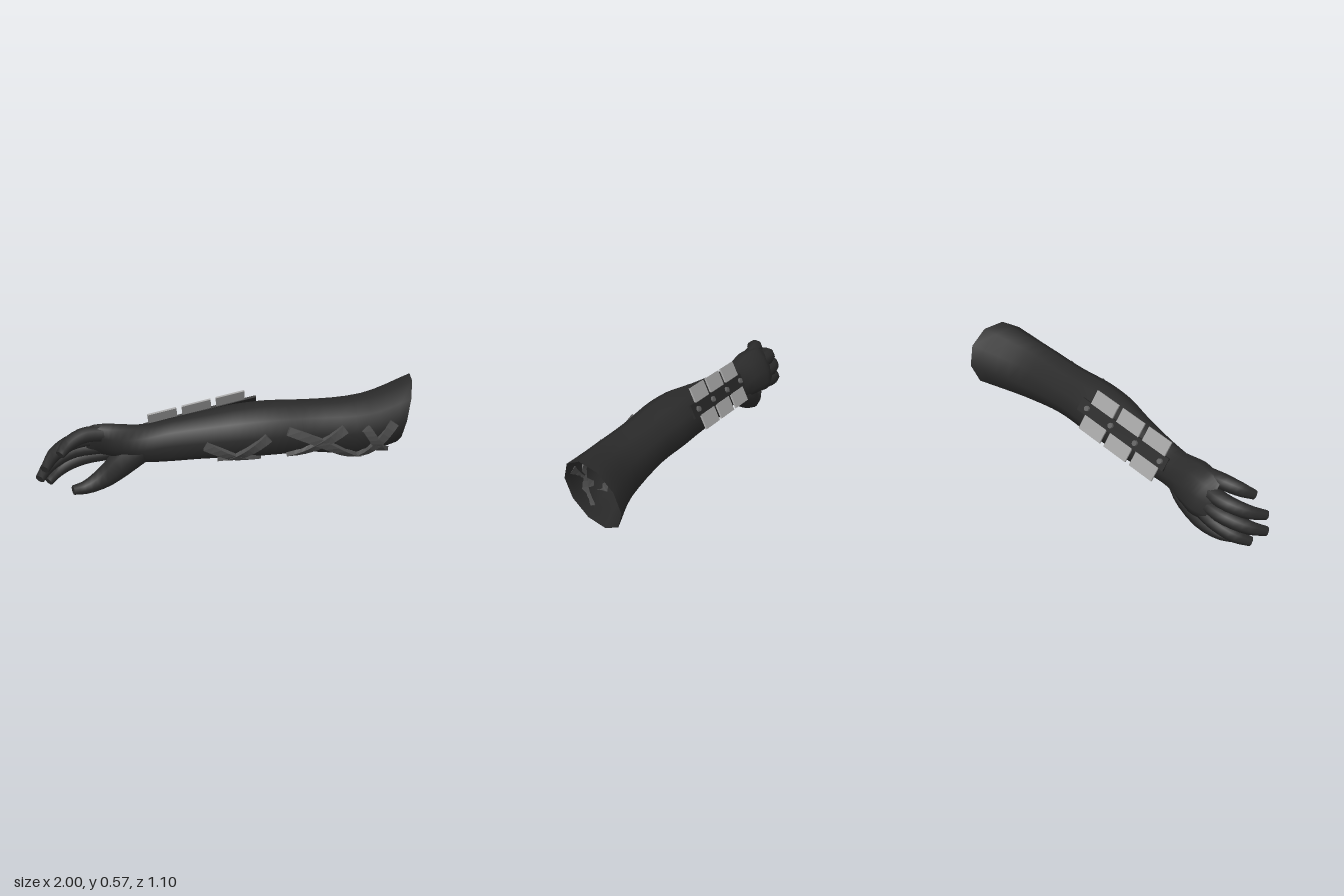
import * as THREE from 'three';

const V = (x, y, z) => new THREE.Vector3(x, y, z);
const mat = (name, color) => {
  const m = new THREE.MeshStandardMaterial({ color });
  m.name = name;
  return m;
};

// Skin over rings {c, n, u}: ellipses with centre c and half axes n and u
function loft(rings, sides, { capStart = false, capEnd = false, flat = false, turn = 0 } = {}) {
  const pos = [], idx = [];
  for (const { c, n, u } of rings) {
    for (let j = 0; j < sides; j++) {
      const a = turn + (j / sides) * Math.PI * 2;
      pos.push(...c.clone().addScaledVector(n, Math.cos(a)).addScaledVector(u, Math.sin(a)).toArray());
    }
  }
  for (let i = 0; i < rings.length - 1; i++) {
    for (let j = 0; j < sides; j++) {
      const k = (j + 1) % sides;
      const a = i * sides + j, b = i * sides + k;
      idx.push(a, b, a + sides, b, b + sides, a + sides);
    }
  }
  const cap = (ring, flip) => {
    const start = pos.length / 3;
    for (let j = 0; j < sides; j++) {
      const o = (ring * sides + j) * 3;
      pos.push(pos[o], pos[o + 1], pos[o + 2]);
    }
    for (let j = 1; j < sides - 1; j++) {
      idx.push(start, start + (flip ? j + 1 : j), start + (flip ? j : j + 1));
    }
  };
  if (capStart) cap(0, true);
  if (capEnd) cap(rings.length - 1, false);
  let g = new THREE.BufferGeometry();
  g.setAttribute('position', new THREE.Float32BufferAttribute(pos, 3));
  g.setIndex(idx);
  if (flat) g = g.toNonIndexed();
  g.computeVertexNormals();
  return g;
}

// Sleeve and palm sections, elbow to knuckles: centre, front half axis, upper half axis
const SECTIONS = [
  [V(0.955, 0.378, -0.355), V(0.035, 0, 0.2), V(0.035, 0.203, 0)],
  [V(0.73, 0.338, -0.185), V(0.07, 0, 0.14), V(0.015, 0.182, 0)],
  [V(0.425, 0.352, -0.065), V(0.075, 0, 0.128), V(0, 0.153, 0)],
  [V(0.205, 0.354, 0.015), V(0.065, 0, 0.143), V(0, 0.157, 0)],
  [V(0.04, 0.346, 0.072), V(0.06, 0, 0.138), V(0, 0.152, 0)],
  [V(-0.13, 0.327, 0.12), V(0.05, 0, 0.12), V(0, 0.138, 0)],
  [V(-0.31, 0.306, 0.18), V(0.035, 0, 0.1), V(0, 0.126, 0)],
  [V(-0.44, 0.294, 0.225), V(0.02, -0.01, 0.09), V(0, 0.116, 0.015)],
  [V(-0.6, 0.308, 0.256), V(0.02, -0.03, 0.08), V(0, 0.117, 0.06)],
  [V(-0.7, 0.305, 0.27), V(0.03, -0.02, 0.058), V(0, 0.121, 0.065)],
  [V(-0.78, 0.287, 0.295), V(0.02, -0.01, 0.024), V(0.01, 0.108, 0.045)],
];
const [centre, front, upper] = [0, 1, 2].map(
  (k) => new THREE.CatmullRomCurve3(SECTIONS.map((s) => s[k])));
const ringAt = (t) => ({ c: centre.getPoint(t), n: front.getPoint(t), u: upper.getPoint(t) });

// Curve parameter where the arm's centre line reaches a given x
function paramAtX(x) {
  let lo = 0, hi = 1;
  for (let i = 0; i < 30; i++) {
    const m = (lo + hi) / 2;
    if (centre.getPoint(m).x > x) lo = m; else hi = m;
  }
  return lo;
}

// Tapered digit along a curve
function digit(points, radii) {
  const curve = new THREE.CatmullRomCurve3(points);
  const rings = [];
  const steps = 10;
  for (let i = 0; i <= steps; i++) {
    const t = i / steps;
    const tan = curve.getTangent(t);
    const up = V(0, 1, 0).addScaledVector(tan, -tan.y).normalize();
    const side = up.clone().cross(tan);
    const f = t * (radii.length - 1), k = Math.min(Math.floor(f), radii.length - 2);
    const r = THREE.MathUtils.lerp(radii[k], radii[k + 1], f - k);
    rings.push({ c: curve.getPoint(t), n: side.multiplyScalar(r), u: up.multiplyScalar(r) });
  }
  return loft(rings, 8, { capEnd: true });
}

// Flat band across the sleeve from (x, angle) to (x, angle); 0 degrees faces front
function strap(x0, a0, x1, a1) {
  const pts = [], outs = [];
  const steps = 8;
  for (let i = 0; i <= steps; i++) {
    const s = i / steps;
    const { c, n, u } = ringAt(paramAtX(THREE.MathUtils.lerp(x0, x1, s)));
    const a = THREE.MathUtils.degToRad(THREE.MathUtils.lerp(a0, a1, s));
    const d = n.multiplyScalar(Math.cos(a)).addScaledVector(u, Math.sin(a));
    pts.push(c.addScaledVector(d, 1.03));
    outs.push(d.normalize());
  }
  const rings = pts.map((c, i) => {
    const tan = pts[Math.min(i + 1, steps)].clone().sub(pts[Math.max(i - 1, 0)]).normalize();
    const out = outs[i].clone().addScaledVector(tan, -outs[i].dot(tan)).normalize();
    const side = out.clone().cross(tan);
    return { c, n: side.multiplyScalar(0.036), u: out.multiplyScalar(0.017) };
  });
  return loft(rings, 4, { capStart: true, capEnd: true, flat: true, turn: Math.PI / 4 });
}

export function createModel() {
  const model = new THREE.Group();
  model.name = 'armGuard';
  const glove = mat('dark glove', 0x2b2b2b);
  glove.side = THREE.DoubleSide;
  const band = mat('strap grey', 0x4c4c4c);
  const steel = mat('plate grey', 0xa0a0a0);
  const base = mat('base black', 0x262626);
  const stud = mat('rivet grey', 0x606060);
  const add = (parent, name, geo, m) => {
    const mesh = new THREE.Mesh(geo, m);
    mesh.name = name;
    parent.add(mesh);
    return mesh;
  };

  // Open sleeve running into the palm
  const rings = [];
  for (let i = 0; i <= 40; i++) rings.push(ringAt(i / 40));
  add(model, 'sleeveAndPalm', loft(rings, 10, { capEnd: true, turn: 0.1 }), glove);

  // Four curled fingers and the thumb
  const fingers = {
    littleFinger: [V(-0.63, 0.375, 0.3), V(-0.75, 0.383, 0.362), V(-0.82, 0.36, 0.435), V(-0.848, 0.325, 0.507)],
    ringFinger: [V(-0.68, 0.335, 0.275), V(-0.835, 0.315, 0.335), V(-0.91, 0.28, 0.43), V(-0.932, 0.24, 0.54)],
    middleFinger: [V(-0.68, 0.265, 0.255), V(-0.85, 0.245, 0.315), V(-0.945, 0.205, 0.42), V(-0.972, 0.165, 0.525)],
    indexFinger: [V(-0.65, 0.22, 0.24), V(-0.815, 0.187, 0.288), V(-0.915, 0.145, 0.36), V(-0.955, 0.105, 0.445)],
  };
  for (const [name, path] of Object.entries(fingers)) {
    add(model, name, digit(path, [0.045, 0.046, 0.04, 0.027]), glove);
  }
  add(model, 'thumb', digit(
    [V(-0.45, 0.265, 0.235), V(-0.56, 0.185, 0.258), V(-0.665, 0.09, 0.3), V(-0.76, 0.042, 0.36), V(-0.825, 0.042, 0.41)],
    [0.075, 0.087, 0.064, 0.04, 0.028]), glove);

  // Three crossed pairs of straps: x and angle of both ends
  [
    [-0.14, 0, 0.16, -75], [0.19, 8, -0.05, -65],
    [0.29, 18, 0.71, -60], [0.59, 18, 0.31, -58],
    [0.7, 16, 0.87, -60], [0.87, 12, 0.69, -56],
  ].forEach((s, i) => add(model, 'strap' + (i + 1), strap(...s), band));

  // Armour panel: local x runs up the forearm, local y down its back, z outward
  const panel = new THREE.Group();
  panel.name = 'armourPanel';
  const along = V(1, 0.178, -0.465).normalize();
  const out = along.clone().cross(V(-0.02, -0.214, -0.128)).normalize();
  const down = out.clone().cross(along);
  panel.applyMatrix4(new THREE.Matrix4().makeBasis(along, down, out).setPosition(-0.426, 0.46, 0.215));
  model.add(panel);
  add(panel, 'baseStrip', new THREE.BoxGeometry(0.665, 0.08, 0.014), base).position.set(0.3, 0.125, 0.008);
  for (let i = 0; i < 3; i++) {
    for (const y of [0.044, 0.206]) {
      add(panel, 'plate', new THREE.BoxGeometry(0.168, 0.088, 0.01), steel)
        .position.set(0.084 + i * 0.199, y, 0.011);
    }
  }
  for (let i = 0; i < 4; i++) {
    const rivet = add(panel, 'rivet', new THREE.CylinderGeometry(0.016, 0.018, 0.016, 8), stud);
    rivet.rotation.x = Math.PI / 2;
    rivet.position.set(0.008 + i * 0.188, 0.125, 0.02);
  }
  return model;
}
